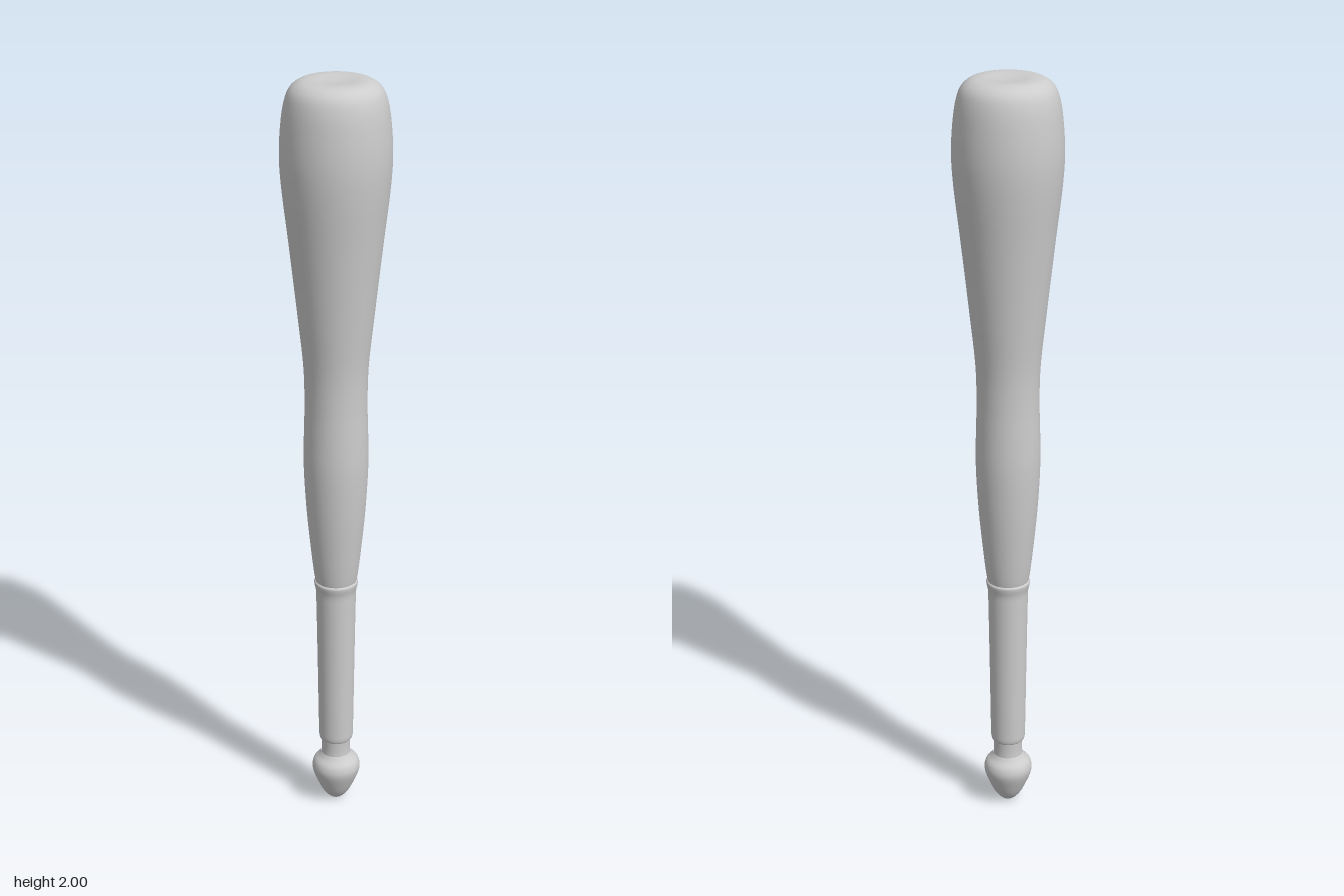
import * as THREE from 'three';

const SEGMENTS = 48;

// Smooth lathe through [radius, height] points, listed bottom to top
function turned(name, points, material, divisions) {
  const curve = new THREE.CatmullRomCurve3(
    points.map(([r, y]) => new THREE.Vector3(r, y, 0)), false, 'centripetal');
  const profile = curve.getPoints(divisions)
    .map((p) => new THREE.Vector2(Math.max(p.x, 0), p.y));
  const mesh = new THREE.Mesh(new THREE.LatheGeometry(profile, SEGMENTS), material);
  mesh.name = name;
  return mesh;
}

export function createModel() {
  const group = new THREE.Group();
  group.name = 'club';
  const grey = new THREE.MeshStandardMaterial({ color: 0xcccccc });
  grey.name = 'light grey';

  // Acorn-shaped knob and the narrow neck above it
  group.add(turned('knob', [
    [0, 0], [0.015, 0.004], [0.034, 0.024], [0.053, 0.062], [0.063, 0.09],
    [0.064, 0.105], [0.059, 0.121], [0.046, 0.135], [0.039, 0.145],
  ], grey, 40));
  group.add(turned('neck', [
    [0.039, 0.14], [0.038, 0.16], [0.039, 0.195],
  ], grey, 8));

  // Handle with rounded lower end and a raised lip at the top
  group.add(turned('handle', [
    [0.036, 0.186], [0.042, 0.188], [0.045, 0.196], [0.046, 0.22],
    [0.049, 0.42], [0.052, 0.6], [0.053, 0.635], [0.057, 0.655],
    [0.057, 0.662], [0.051, 0.668],
  ], grey, 48));

  // Swelling shaft and heavy head with a softly rounded, slightly dished top
  group.add(turned('body', [
    [0.051, 0.655], [0.055, 0.67], [0.067, 0.77], [0.077, 0.88],
    [0.083, 1.0], [0.082, 1.08], [0.080, 1.16], [0.082, 1.26],
    [0.096, 1.4], [0.118, 1.6], [0.134, 1.74], [0.138, 1.81],
    [0.135, 1.88], [0.126, 1.945], [0.113, 1.978], [0.092, 1.995],
    [0.065, 2.0], [0.03, 1.997], [0, 1.995],
  ], grey, 90));

  return group;
}
